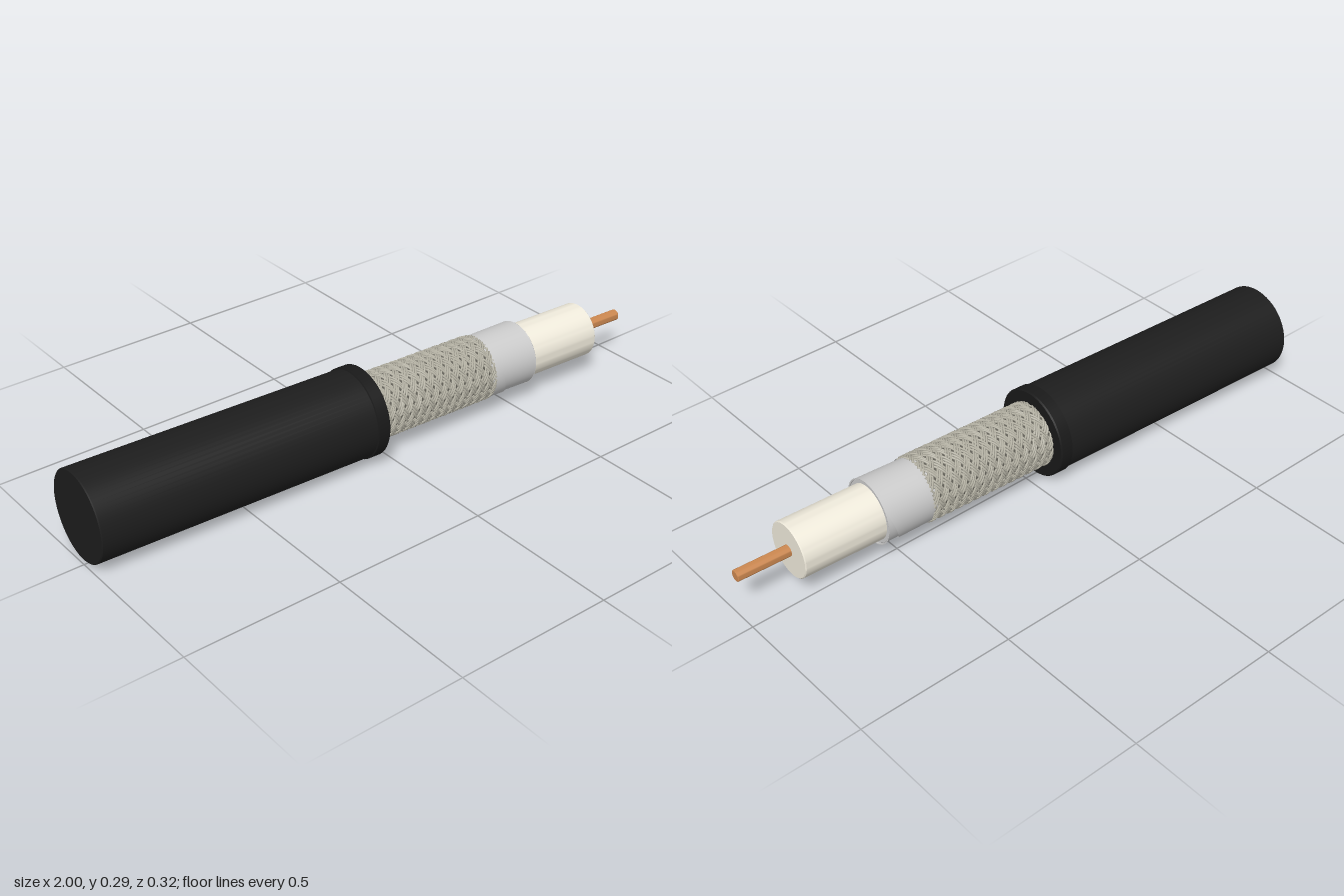
import * as THREE from 'three';
import { mergeGeometries, toCreasedNormals } from 'three/addons/utils/BufferGeometryUtils.js';

const mat = (color) => new THREE.MeshStandardMaterial({ color, side: THREE.DoubleSide });

// Solid of revolution around x; profile is a list of [x, radius]
function turned(name, profile, material, segments = 64) {
  const lathe = new THREE.LatheGeometry(profile.map(([x, r]) => new THREE.Vector2(r, x)), segments);
  lathe.rotateZ(-Math.PI / 2);
  const mesh = new THREE.Mesh(toCreasedNormals(lathe, 0.6), material);
  mesh.name = name;
  return mesh;
}

// Plain rod with a small bevel on its free end
const rod = (x0, x1, r, b) => [[x0, 0], [x0, r], [x1 - b, r], [x1, r - b], [x1, 0]];

// Woven wires: two opposite sets of helices passing over and under each other
function braidGeometry(x0, x1, radius) {
  const carriers = 12, steps = 90, wire = 0.0035, twist = 1.15 * Math.PI * 2;
  const tubes = [];
  for (const dir of [1, -1]) {
    for (let i = 0; i < carriers; i++) {
      for (const strand of [-1, 0, 1]) {
        const points = [];
        for (let n = 0; n <= steps; n++) {
          const t = n / steps;
          const angle = (i / carriers) * Math.PI * 2 + dir * twist * t + strand * 0.133;
          const r = radius + dir * 0.0025 * Math.cos(carriers * twist * t);
          points.push(new THREE.Vector3(x0 + (x1 - x0) * t, r * Math.cos(angle), r * Math.sin(angle)));
        }
        tubes.push(new THREE.TubeGeometry(new THREE.CatmullRomCurve3(points), steps, wire, 5));
      }
    }
  }
  return mergeGeometries(tubes);
}

// Foil tape wound in a helix, each turn lapping over the last, trimmed at both ends
function foilWrapGeometry(x0, x1, r0, r1) {
  const pitch = 0.22, turns = 2.2, steps = 140, across = 8;
  const position = [], index = [];
  for (let i = 0; i <= steps; i++) {
    const turn = (i / steps) * turns;
    const angle = turn * Math.PI * 2 + 0.6;
    for (let j = 0; j <= across; j++) {
      const v = j / across;
      const x = THREE.MathUtils.clamp(x0 + (turn - 1.1 + v * 1.1) * pitch, x0, x1);
      const r = r0 + (r1 - r0) * v;
      position.push(x, r * Math.cos(angle), r * Math.sin(angle));
      if (i < steps && j < across) {
        const a = i * (across + 1) + j, b = a + across + 1;
        index.push(a, b, a + 1, b, b + 1, a + 1);
      }
    }
  }
  const geometry = new THREE.BufferGeometry();
  geometry.setAttribute('position', new THREE.Float32BufferAttribute(position, 3));
  geometry.setIndex(index);
  geometry.computeVertexNormals();
  return geometry;
}

export function createModel() {
  const group = new THREE.Group();
  group.name = 'coaxialCable';
  const black = mat(0x1d1d1d), lipBlack = mat(0x191919), silver = mat(0xb9b6a8);
  const dark = mat(0x5f5d55), foil = mat(0xd6d7d6), cream = mat(0xf0ebdc), copper = mat(0xcc8850);

  // Outer jacket and the raised lip at its cut end
  group.add(turned('jacket', [[-0.994, 0], [-0.994, 0.137], [-0.991, 0.14], [-0.06, 0.14]], black));
  group.add(turned('jacketLip', [
    [-0.085, 0.138], [-0.082, 0.144], [-0.044, 0.144], [-0.04, 0.14], [-0.04, 0.09],
  ], lipBlack));

  // Braided shield over a dark core
  group.add(turned('braidCore', rod(-0.06, 0.398, 0.0985, 0.001), dark));
  const braid = new THREE.Mesh(braidGeometry(-0.05, 0.4, 0.1015), silver);
  braid.name = 'braidWires';
  group.add(braid);

  // Foil shield with its spiral overlap
  group.add(turned('foilLayer', rod(0.38, 0.557, 0.0995, 0.001), foil));
  const wrap = new THREE.Mesh(foilWrapGeometry(0.395, 0.56, 0.1, 0.104), foil);
  wrap.name = 'foilWrap';
  group.add(wrap);

  // Dielectric and centre conductor
  group.add(turned('dielectric', rod(0.5, 0.828, 0.0885, 0.003), cream));
  group.add(turned('conductor', rod(0.8, 0.999, 0.018, 0.002), copper, 32));

  // The cable lies slightly turned toward the front at its stripped end
  group.rotation.y = -0.0435;
  group.position.set(0, 0.144, 0.0205);
  const model = new THREE.Group();
  model.name = 'cableModel';
  model.add(group);
  return model;
}
